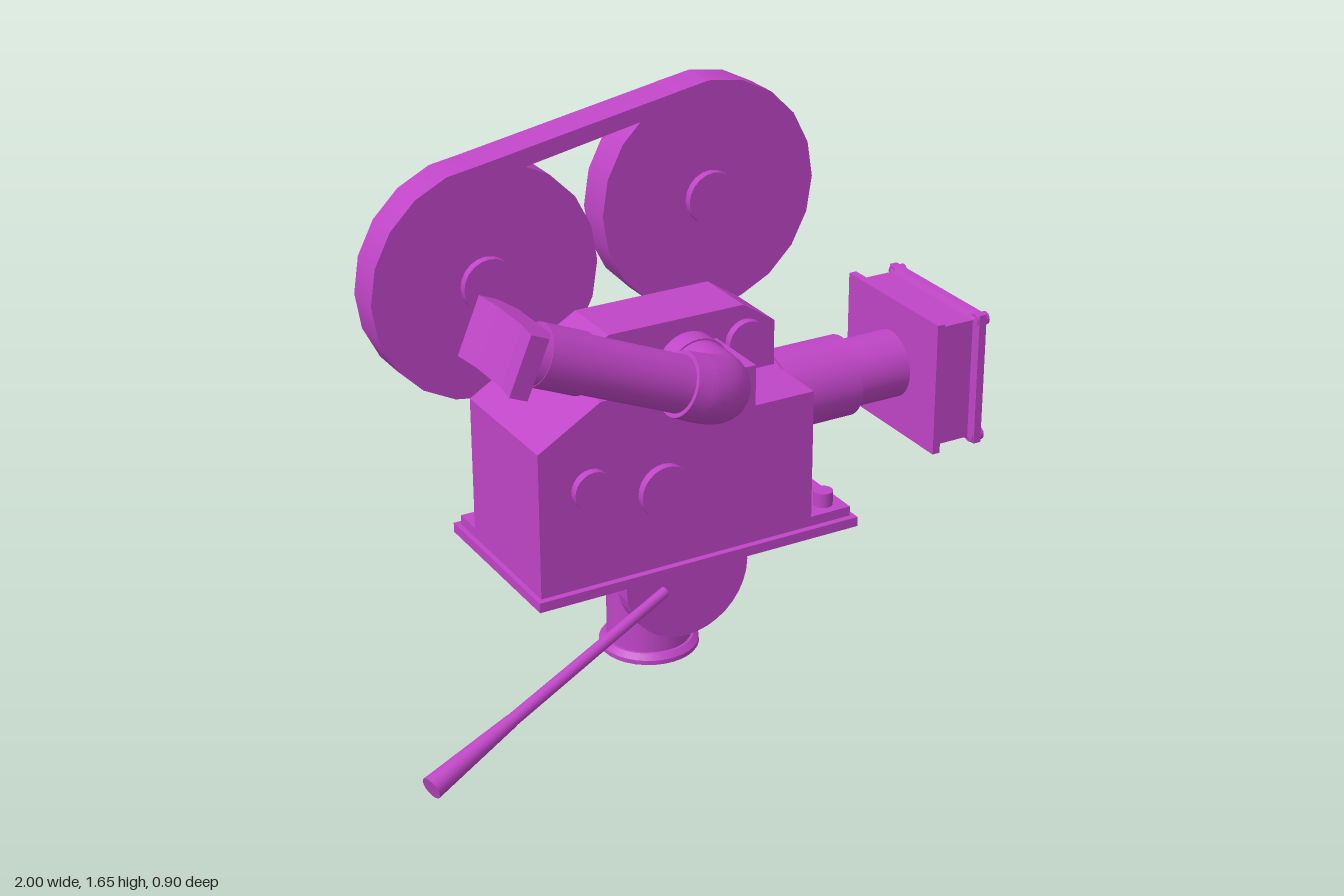
import * as THREE from 'three';

const material = new THREE.MeshStandardMaterial({ color: 0xbf45c6 });
const flatMaterial = new THREE.MeshStandardMaterial({ color: 0xbf45c6, flatShading: true });
const V = (x, y, z) => new THREE.Vector3(x, y, z);
const polygon = points => new THREE.Shape(points.map(([x, y]) => new THREE.Vector2(x, y)));

export function createModel() {
  const model = new THREE.Group();

  const add = (name, geometry, mat = material) => {
    const mesh = new THREE.Mesh(geometry, mat);
    mesh.name = name;
    model.add(mesh);
    return mesh;
  };

  // Box given by its minimum and maximum corners
  const box = (name, x0, x1, y0, y1, z0, z1) =>
    add(name, new THREE.BoxGeometry(x1 - x0, y1 - y0, z1 - z0))
      .position.set((x0 + x1) / 2, (y0 + y1) / 2, (z0 + z1) / 2);

  // Cylinder or cone between two points
  const rod = (name, a, b, r0, r1 = r0, sides = 32) => {
    const dir = b.clone().sub(a);
    const mesh = add(name, new THREE.CylinderGeometry(r1, r0, dir.length(), sides));
    mesh.position.copy(a).add(b).multiplyScalar(0.5);
    mesh.quaternion.setFromUnitVectors(V(0, 1, 0), dir.normalize());
  };

  // Front-facing shape extruded from z0 to z1
  const slab = (name, shape, z0, z1) => {
    const geometry = new THREE.ExtrudeGeometry(shape, { depth: z1 - z0, bevelEnabled: false, curveSegments: 10 });
    add(name, geometry.translate(0, 0, z0));
  };

  // Camera body: stepped front half and taller rear half
  slab('bodyFront', polygon([[-0.53, 0.39], [0.355, 0.39], [0.355, 0.83], [0.16, 0.83], [0.16, 0.955], [-0.335, 0.955], [-0.53, 0.84]]), -0.13, 0.09);
  slab('bodyRear', polygon([[-0.53, 0.39], [0.355, 0.39], [0.355, 0.97], [0.25, 1.04], [-0.19, 1.04], [-0.53, 0.84]]), -0.335, -0.13);
  for (const [x, y, r, z] of [[-0.37, 0.7, 0.06, 0.09], [-0.14, 0.64, 0.08, 0.09], [0.255, 0.93, 0.065, -0.13]])
    rod('sideKnob', V(x, y, z - 0.01), V(x, y, z + 0.025), r, r, 24);
  for (const [y, z] of [[0.885, -0.19], [0.885, -0.28], [0.83, -0.3]])
    rod('frontRivet', V(0.35, y, z), V(0.367, y, z), 0.018, 0.018, 12);

  // Base plates and bolts
  box('lowerBasePlate', -0.545, 0.505, 0.365, 0.395, -0.45, 0.11);
  box('upperBasePlate', -0.53, 0.49, 0.395, 0.425, -0.43, 0.09);
  for (const [x, z] of [[0.43, 0.035], [0.43, -0.375], [-0.47, -0.375]])
    rod('baseBolt', V(x, 0.42, z), V(x, 0.47, z), 0.03, 0.03, 16);

  // Film magazine: two reels with a bridging strip
  for (const [x, y] of [[-0.465, 1.18], [0.255, 1.305]]) {
    rod('filmReel', V(x, y, -0.45), V(x, y, -0.335), 0.35, 0.35, 20);
    rod('reelHub', V(x, y, -0.34), V(x, y, -0.31), 0.08, 0.08, 20);
  }
  slab('magazineStrip', polygon([[-0.55, 1.46], [0.2, 1.6], [0.25, 1.655], [-0.57, 1.512]]), -0.45, -0.335);

  // Lens barrel along +x
  const lensY = 0.71, lensZ = -0.19;
  for (const [x0, x1, r] of [[0.35, 0.385, 0.115], [0.38, 0.63, 0.125], [0.63, 0.82, 0.105], [0.84, 0.88, 0.13]])
    rod('lensBarrel', V(x0, lensY, lensZ), V(x1, lensY, lensZ), r);
  const glass = add('lensGlass', new THREE.SphereGeometry(0.11, 32, 16));
  glass.scale.x = 0.35;
  glass.position.set(0.88, lensY, lensZ);

  // Rectangular hood: four-sided lathe, [half height, x]
  const hoodProfile = [[0, 0.81], [0.21, 0.81], [0.21, 0.835], [0.192, 0.845], [0.192, 0.95],
    [0.21, 0.96], [0.21, 0.985], [0.175, 0.985], [0.155, 0.85], [0, 0.85]];
  const hood = new THREE.LatheGeometry(hoodProfile.map(([h, x]) => new THREE.Vector2(h * Math.SQRT2, x)), 4);
  hood.rotateY(Math.PI / 4).rotateZ(-Math.PI / 2).scale(1, 1, 1.14);
  add('lensHood', hood, flatMaterial).position.set(0, lensY, lensZ);
  for (const sy of [-1, 1]) for (const sz of [-1, 1]) {
    const y = lensY + sy * 0.19, z = lensZ + sz * 0.218;
    rod('hoodStud', V(0.955, y, z), V(0.998, y, z), 0.02, 0.02, 12);
  }

  // Viewfinder: collar, elbow, stepped tube and eyecup
  const angle = THREE.MathUtils.degToRad(23);
  const eye = s => V(-0.055 - s * Math.cos(angle), 1.0 + s * Math.sin(angle), 0.305);
  const at = z => V(-0.055, 1.0, z);
  rod('viewfinderCollar', at(0.08), at(0.14), 0.1);
  const elbow = new THREE.CurvePath();
  elbow.add(new THREE.LineCurve3(at(0.13), at(0.19)));
  elbow.add(new THREE.QuadraticBezierCurve3(at(0.19), eye(0), eye(0.12)));
  add('viewfinderElbow', new THREE.TubeGeometry(elbow, 24, 0.095, 28));
  for (const [s0, s1, r0, r1] of [[0.11, 0.17, 0.095, 0.092], [0.17, 0.5, 0.08, 0.08], [0.49, 0.63, 0.086, 0.086], [0.62, 0.7, 0.086, 0.07]])
    rod('viewfinderTube', eye(s0), eye(s1), r0, r1);

  // Eyecup outline: x is distance along the tube, y is across
  const cupOutline = polygon([[0.665, -0.09], [0.7, -0.15], [0.755, -0.15], [0.738, -0.07],
    [0.738, 0.07], [0.755, 0.15], [0.7, 0.15], [0.665, 0.09]]);
  const cup = new THREE.ExtrudeGeometry(cupOutline, { depth: 0.17, bevelEnabled: false });
  cup.translate(0, 0, -0.085).rotateX(Math.PI / 2).rotateZ(Math.PI - angle);
  add('eyecup', cup).position.copy(eye(0));

  // Tilt head: drum between two cheeks cut flat below the base plate
  const headX = -0.05, headY = 0.335;
  rod('tiltDrum', V(headX, headY, -0.35), V(headX, headY, 0.02), 0.15);
  const cheek = new THREE.Shape();
  cheek.absarc(headX, headY, 0.2, Math.PI - 0.16, Math.PI * 2 + 0.16, false);
  slab('tiltCheek', cheek, 0.01, 0.07);
  slab('tiltCheek', cheek, -0.4, -0.34);

  // Mounting post and flange
  rod('mountPost', V(headX, 0.02, -0.165), V(headX, 0.3, -0.165), 0.127);
  rod('mountFlange', V(headX, 0, -0.165), V(headX, 0.014, -0.165), 0.15);
  rod('mountFlangeRim', V(headX, 0.014, -0.165), V(headX, 0.03, -0.165), 0.15, 0.135);

  // Pan handle with flared grip
  const start = V(-0.13, 0.305, 0.08), end = V(-0.985, 0.05, 0.315);
  const mid = start.clone().lerp(end, 0.67);
  rod('panHandle', start, mid, 0.016, 0.019, 16);
  rod('panGrip', mid, end, 0.02, 0.034, 16);

  return model;
}
